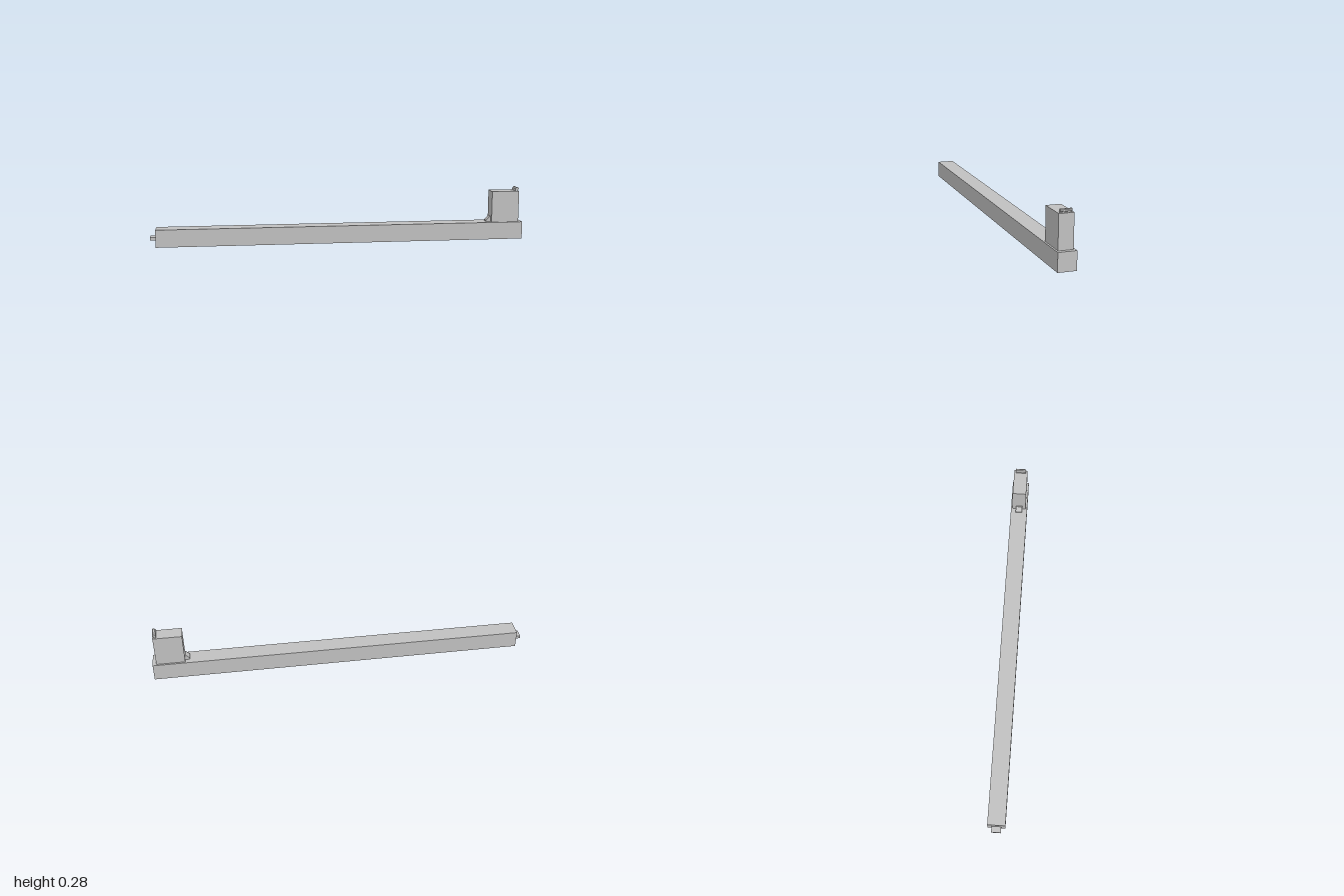
import * as THREE from 'three';

export function createModel() {
  const group = new THREE.Group();
  const grey = new THREE.MeshStandardMaterial({ color: 0xc0c0c0 });
  grey.name = 'plain grey';

  const add = (name, geometry) => {
    const mesh = new THREE.Mesh(geometry, grey);
    mesh.name = name;
    group.add(mesh);
  };

  // Box given by its x and y limits and its full depth, centred on z
  const box = (name, x0, x1, y0, y1, depth) =>
    add(name, new THREE.BoxGeometry(x1 - x0, y1 - y0, depth)
      .translate((x0 + x1) / 2, (y0 + y1) / 2, 0));

  // Side profile in x and y, extruded along z and centred
  const profile = (name, points, depth) => {
    const shape = new THREE.Shape(points.map(([x, y]) => new THREE.Vector2(x, y)));
    add(name, new THREE.ExtrudeGeometry(shape, { depth, bevelEnabled: false })
      .translate(0, 0, -depth / 2));
  };

  // Long beam with the upright block near its left end
  box('beam', -0.97, 1, 0.004, 0.097, 0.092);
  box('block', 0.83, 0.98, 0.097, 0.265, 0.074);

  // Small hooked catch on top of the block
  profile('topCatch', [
    [0.962, 0.264], [0.974, 0.264], [0.974, 0.27], [0.98, 0.273],
    [0.98, 0.28], [0.976, 0.283], [0.968, 0.283], [0.962, 0.277],
  ], 0.056);

  // Sloping brace at the foot of the block
  profile('footBrace', [[0.805, 0.097], [0.831, 0.097], [0.831, 0.127], [0.825, 0.127], [0.805, 0.104]], 0.036);

  // Tongue at the far end of the beam
  box('endTongue', -1, -0.969, 0.039, 0.055, 0.05);

  // Small plate under the beam
  box('undersidePlate', 0.776, 0.79, 0, 0.005, 0.028);

  return group;
}
